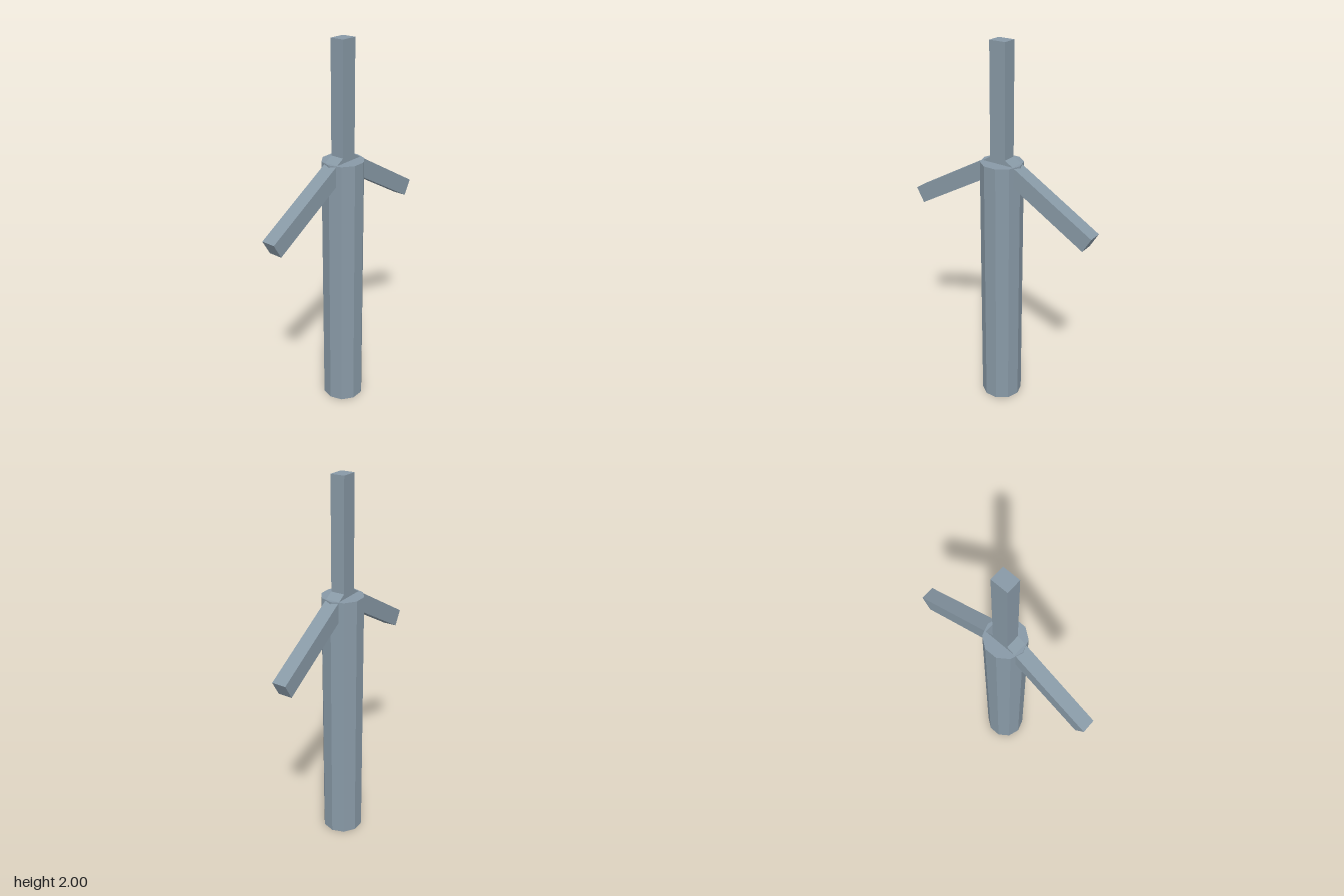
import * as THREE from 'three';

export function createModel() {
  const model = new THREE.Group();
  model.name = 'windTurbine';

  const metal = new THREE.MeshStandardMaterial({ color: 0x8899a6, flatShading: true });
  metal.name = 'blueGrey';

  const poleHeight = 1.4;
  const bladeLength = 0.6;

  // Ten-sided pole, with corners pointing along x
  const pole = new THREE.Mesh(new THREE.CylinderGeometry(0.11, 0.11, poleHeight, 10), metal);
  pole.name = 'pole';
  pole.rotation.y = Math.PI / 2;
  pole.position.y = poleHeight / 2;
  model.add(pole);

  // Three blades spread evenly around the top of the pole
  const rotor = new THREE.Group();
  rotor.name = 'rotor';
  rotor.position.y = poleHeight;
  const bladeGeometry = new THREE.BoxGeometry(0.09, bladeLength, 0.075);
  bladeGeometry.translate(0, bladeLength / 2, 0);
  ['topBlade', 'rightBlade', 'leftBlade'].forEach((name, i) => {
    const blade = new THREE.Mesh(bladeGeometry, metal);
    blade.name = name;
    blade.rotation.z = (i * Math.PI * 2) / 3;
    rotor.add(blade);
  });
  model.add(rotor);

  return model;
}
